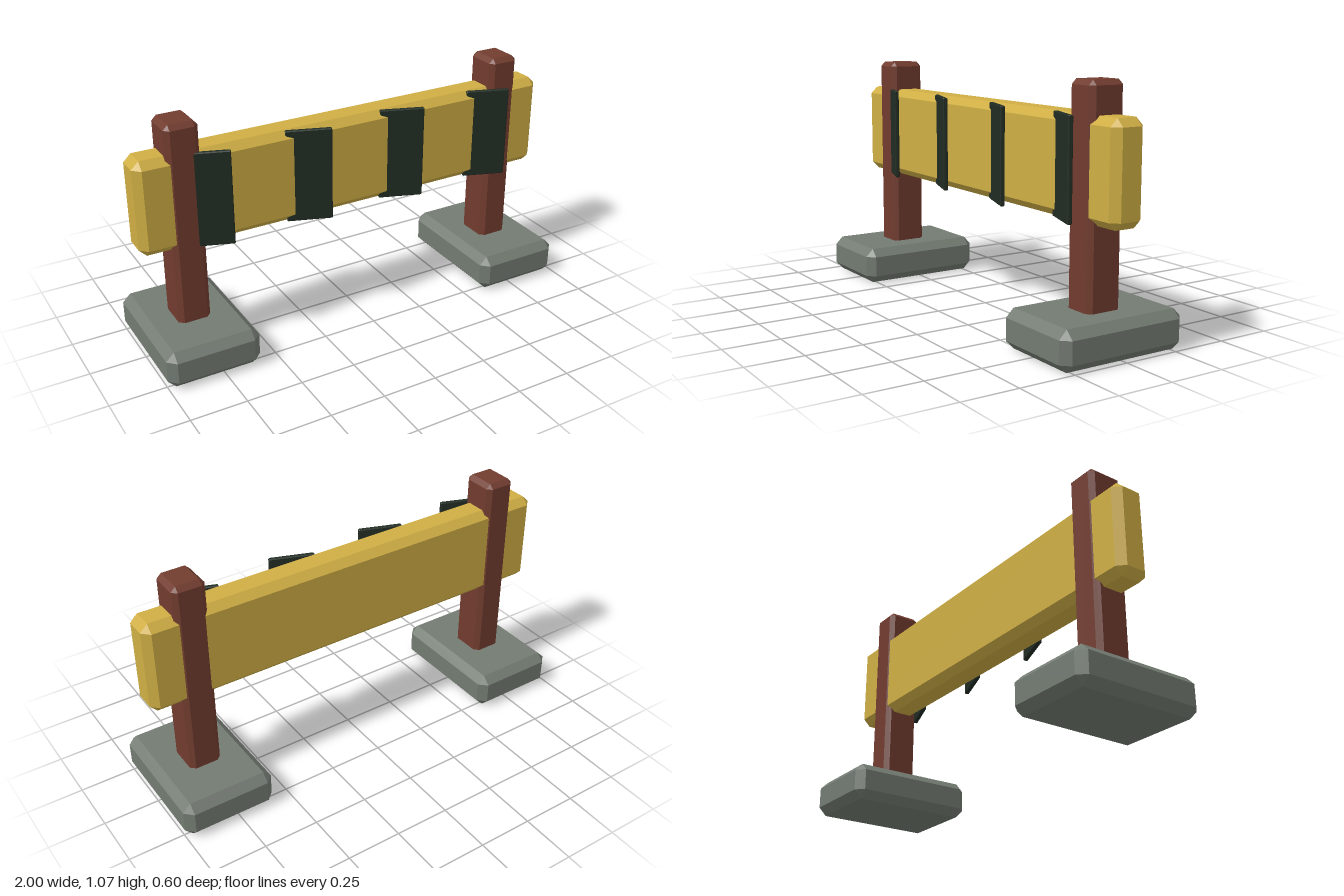
import * as THREE from 'three';
import { ConvexGeometry } from 'three/addons/geometries/ConvexGeometry.js';

const material = (name, color) => {
  const m = new THREE.MeshStandardMaterial({ color });
  m.name = name;
  return m;
};

// Box with every edge and corner cut by a flat chamfer c
function chamferBox(w, h, d, c) {
  const points = [];
  for (const sx of [-1, 1]) for (const sy of [-1, 1]) for (const sz of [-1, 1]) {
    const x = w / 2, y = h / 2, z = d / 2;
    points.push(
      new THREE.Vector3(sx * x, sy * (y - c), sz * (z - c)),
      new THREE.Vector3(sx * (x - c), sy * y, sz * (z - c)),
      new THREE.Vector3(sx * (x - c), sy * (y - c), sz * z));
  }
  return new ConvexGeometry(points);
}

export function createModel() {
  const group = new THREE.Group();
  group.name = 'roadBarrier';
  const yellow = material('yellow paint', 0xcfae44);
  const brown = material('brown wood', 0x723c2f);
  const grey = material('grey stone', 0x737b72);
  const dark = material('dark green', 0x212c23);

  const add = (name, geometry, mat, x, y, z) => {
    const mesh = new THREE.Mesh(geometry, mat);
    mesh.name = name;
    mesh.position.set(x, y, z);
    group.add(mesh);
    return mesh;
  };

  // Cross board
  add('board', chamferBox(2, 0.425, 0.156, 0.033), yellow, 0, 0.728, 0);

  // Feet and posts
  const footGeometry = chamferBox(0.42, 0.168, 0.6, 0.036);
  const postGeometry = chamferBox(0.146, 0.975, 0.166, 0.021);
  for (const [side, s] of [['left', 1], ['right', -1]]) {
    add(side + 'Foot', footGeometry, grey, s * 0.79, 0.084, 0);
    add(side + 'Post', postGeometry, brown, s * 0.79, 0.587, 0);
  }

  // Angled slats whose inner edges sink into the board
  const slatGeometry = chamferBox(0.2, 0.425, 0.02, 0.004);
  for (let i = 0; i < 4; i++) {
    const slat = add('slat' + (i + 1), slatGeometry, dark, -0.7 + i * 0.465, 0.728, 0.09);
    slat.rotation.y = -0.34;
  }
  return group;
}
